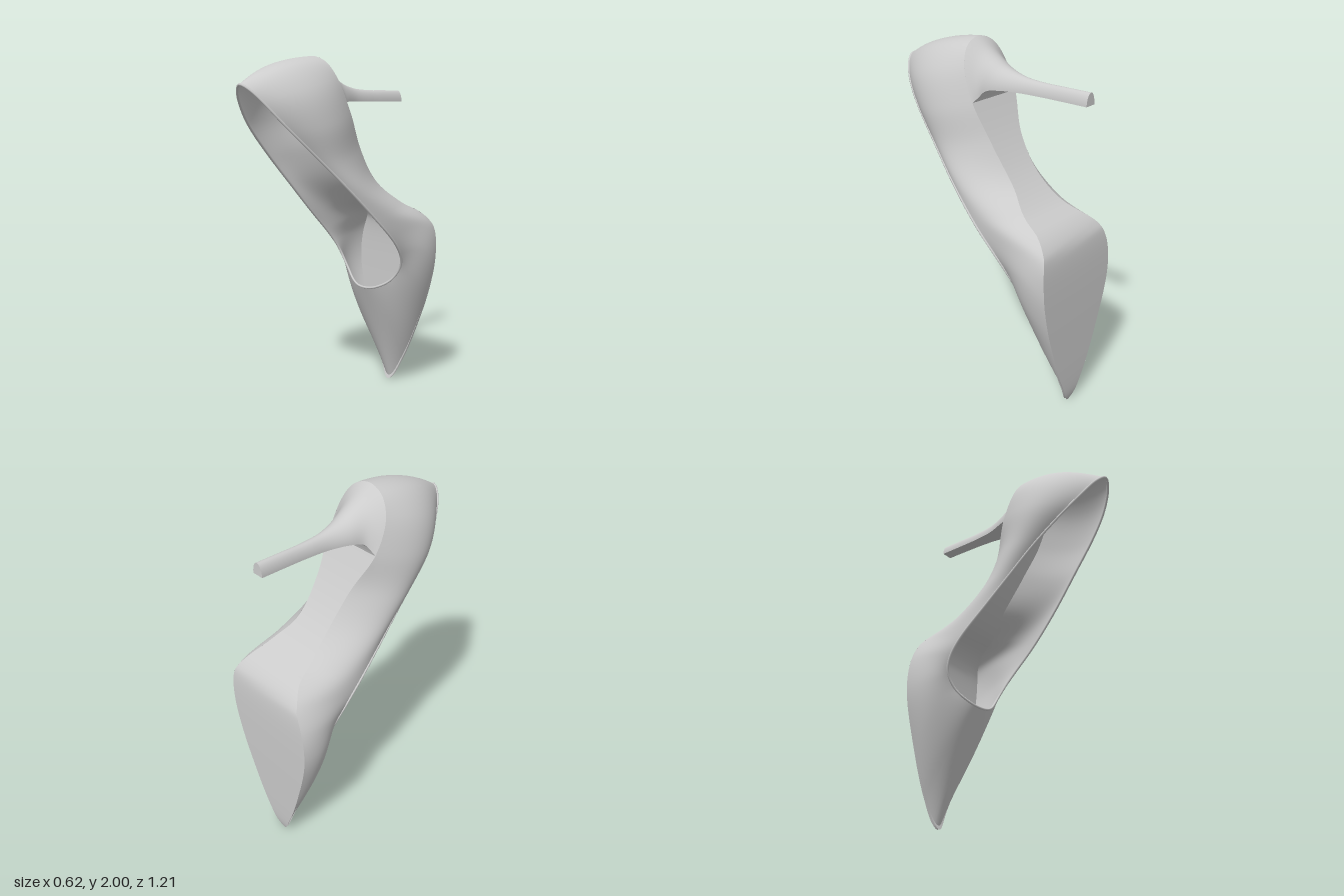
import * as THREE from 'three';
import { mergeVertices } from 'three/addons/utils/BufferGeometryUtils.js';

const V = (x, y, z) => new THREE.Vector3(x, y, z);
const material = new THREE.MeshStandardMaterial({ color: 0xcccccc, side: THREE.DoubleSide });

// Smooth surface from a rule fn(u, v) -> Vector3
function grid(name, nu, nv, fn) {
  const pos = [], index = [];
  for (let i = 0; i <= nu; i++)
    for (let j = 0; j <= nv; j++) pos.push(...fn(i / nu, j / nv).toArray());
  for (let i = 0; i < nu; i++)
    for (let j = 0; j < nv; j++) {
      const a = i * (nv + 1) + j, b = a + nv + 1;
      index.push(a, b, b + 1, a, b + 1, a + 1);
    }
  let g = new THREE.BufferGeometry();
  g.setAttribute('position', new THREE.Float32BufferAttribute(pos, 3));
  g.setIndex(index);
  g = mergeVertices(g, 1e-5);
  g.computeVertexNormals();
  const mesh = new THREE.Mesh(g, material);
  mesh.name = name;
  return mesh;
}

// Side profile: smooth z as a function of height y
function profile(pairs) {
  const p = new THREE.SplineCurve(pairs.map(([y, z]) => new THREE.Vector2(y, z))).getPoints(300);
  return (y) => {
    if (y <= p[0].x) return p[0].y;
    for (let i = 1; i < p.length; i++)
      if (y <= p[i].x) {
        const t = (y - p[i - 1].x) / (p[i].x - p[i - 1].x || 1);
        return p[i - 1].y + t * (p[i].y - p[i - 1].y);
      }
    return p[p.length - 1].y;
  };
}
const soleZ = profile([[0, -0.565], [0.1, -0.585], [0.4, -0.595], [0.8, -0.6], [1, -0.592], [1.07, -0.565],
  [1.13, -0.5], [1.18, -0.4], [1.26, -0.3], [1.37, -0.2], [1.52, -0.1], [1.7, -0.005], [1.85, 0.06], [2, 0.11]]);
const rimZ = profile([[0.655, -0.3], [0.735, -0.345], [0.84, -0.34], [0.96, -0.26], [1.14, -0.075],
  [1.4, 0.19], [1.66, 0.455], [1.845, 0.6]]);

// Three loops, 24 stations each: toe, up the left side, heel, down the right side
const feather = [[-0.03, 0], [0.065, 0.15], [0.17, 0.4], [0.25, 0.64], [0.29, 0.85], [0.28, 1.03], [0.19, 1.19],
  [0.125, 1.3], [0.125, 1.5], [0.15, 1.7], [0.13, 1.87], [0.07, 1.965], [-0.03, 2],
  [-0.13, 1.965], [-0.19, 1.87], [-0.195, 1.7], [-0.12, 1.5], [-0.1, 1.3], [-0.13, 1.17],
  [-0.22, 1.07], [-0.285, 0.93], [-0.3, 0.74], [-0.22, 0.42], [-0.125, 0.16]];
const middle = [[-0.03, 0.3, -0.45], [0.09, 0.41, -0.44], [0.2, 0.58, -0.45], [0.275, 0.74, -0.46],
  [0.308, 0.91, -0.46], [0.295, 1.06, -0.42], [0.265, 1.17, -0.24], [0.235, 1.3, -0.06], [0.215, 1.46, 0.09],
  [0.217, 1.64, 0.22], [0.17, 1.81, 0.32], [0.07, 1.925, 0.37], [-0.03, 1.95, 0.38], [-0.13, 1.925, 0.37],
  [-0.235, 1.81, 0.32], [-0.282, 1.65, 0.24], [-0.265, 1.46, 0.09], [-0.245, 1.3, -0.06], [-0.245, 1.15, -0.25],
  [-0.265, 1.04, -0.4], [-0.303, 0.92, -0.46], [-0.305, 0.76, -0.46], [-0.25, 0.58, -0.45], [-0.14, 0.4, -0.44]];
const rim = [[-0.015, 0.656], [0.06, 0.667], [0.15, 0.715], [0.225, 0.81], [0.258, 0.9], [0.272, 1.03],
  [0.26, 1.16], [0.235, 1.29], [0.19, 1.45], [0.14, 1.61], [0.08, 1.75], [0.025, 1.82], [-0.03, 1.845],
  [-0.085, 1.805], [-0.135, 1.72], [-0.18, 1.61], [-0.22, 1.45], [-0.24, 1.29], [-0.255, 1.16],
  [-0.27, 1], [-0.265, 0.9], [-0.235, 0.8], [-0.16, 0.71], [-0.08, 0.665]];

function loop(stations, zOf) {
  const curve = new THREE.CatmullRomCurve3(stations.map(([x, y, z = 0]) => V(x, y, z)), true);
  return (t) => {
    const p = curve.getPoint(((t % 1) + 1) % 1);
    if (zOf) p.z = zOf(p.y);
    p.y = THREE.MathUtils.clamp(p.y, 0, 2);
    return p;
  };
}
const F = loop(feather, soleZ), M = loop(middle), R = loop(rim, rimZ);

// Heel rings: back z, breast z, back y, breast y, half width
const heelRings = [[0.04, -0.012, 1.945, 1.72, 0.145], [-0.03, -0.03, 1.9, 1.75, 0.11], [-0.09, -0.09, 1.867, 1.76, 0.085],
  [-0.2, -0.2, 1.836, 1.76, 0.05], [-0.33, -0.33, 1.825, 1.76, 0.037], [-0.46, -0.46, 1.825, 1.76, 0.034],
  [-0.6, -0.6, 1.825, 1.76, 0.033]];
function heelPoint(u, v) { // u: right to left over the back, v: seat to tip
  const a = Math.PI * (1 - u), s = Math.sin(a);
  const path = heelRings.map(([zt, zb, yt, yb, w]) =>
    V(-0.03 + w * Math.cos(a), yb + (yt - yb) * s, zb + (zt - zb) * s));
  path.unshift(F((15 - 6 * u) / 24));
  return new THREE.CatmullRomCurve3(path).getPoint(v);
}

export function createModel() {
  const shoe = new THREE.Group();
  shoe.name = 'highHeelShoe';

  // Upper: bulging wall from the sole edge to the opening
  shoe.add(grid('upper', 192, 20, (u, v) => {
    const p = F(u).multiplyScalar(2 * (v - 0.5) * (v - 1));
    p.addScaledVector(M(u), 4 * v * (1 - v));
    return p.addScaledVector(R(u), 2 * v * (v - 0.5));
  }));

  // Outsole and the insole just above it
  const across = (u, v) => F(1 - u / 2).lerp(F(u / 2), v);
  shoe.add(grid('outsole', 110, 8, across));
  shoe.add(grid('insole', 110, 8, (u, v) => across(u, 1 - v).add(V(0, -0.01 * u, 0.015))));

  // Folded edge around the opening
  const edge = new THREE.CatmullRomCurve3(Array.from({ length: 96 }, (_, i) => R(i / 96)), true);
  const binding = new THREE.Mesh(new THREE.TubeGeometry(edge, 192, 0.007, 8, true), material);
  binding.name = 'openingEdge';
  shoe.add(binding);

  // Heel: rounded back, flat breast and tip
  const heel = new THREE.Group();
  heel.name = 'heel';
  heel.add(grid('heelBack', 40, 48, heelPoint));
  heel.add(grid('heelBreast', 8, 48, (u, v) => heelPoint(1, v).lerp(heelPoint(0, v), u)));
  heel.add(grid('heelTip', 40, 1, (u, v) => {
    const p = heelPoint(u, 1);
    if (v) p.y = 1.76;
    return p;
  }));
  shoe.add(heel);
  return shoe;
}
